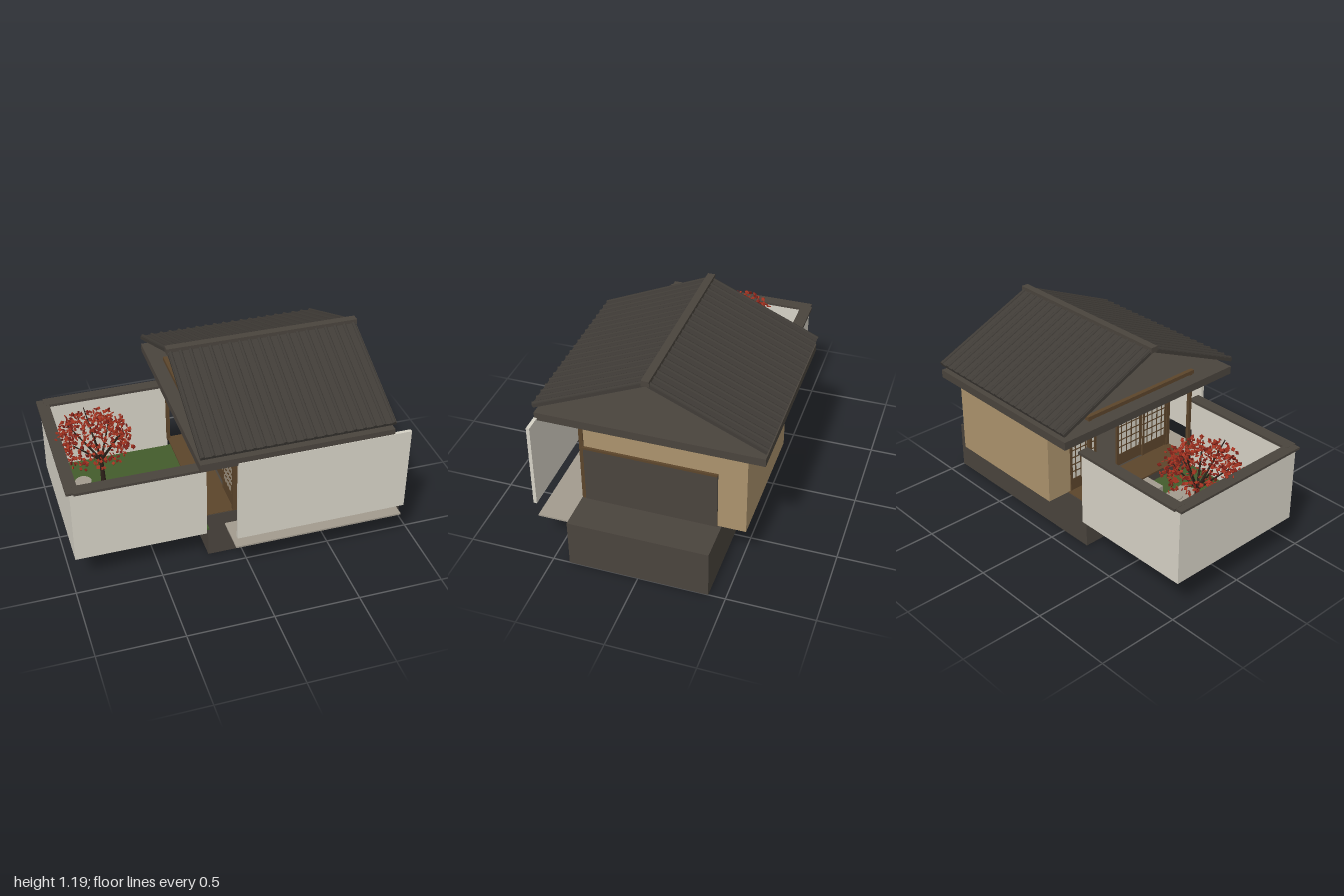
import * as THREE from 'three';
import { mergeGeometries } from 'three/addons/utils/BufferGeometryUtils.js';

const mat = (name, color, side = THREE.FrontSide) => {
  const m = new THREE.MeshStandardMaterial({ color, side });
  m.name = name;
  return m;
};

export function createModel() {
  const charcoal = mat('charcoal', 0x4a443d);
  const tile = mat('roofTile', 0x403c37);
  const plaster = mat('plaster', 0xd6d2c6);
  const clay = mat('clayWall', 0xac936d);
  const wood = mat('wood', 0x5c452b);
  const grass = mat('moss', 0x435c2c);
  const stone = mat('stone', 0xa29b8e);
  const bark = mat('bark', 0x2e211a);
  const leafRed = mat('leafRed', 0xa23220);
  const leafDark = mat('leafDarkRed', 0x7c2018);

  const model = new THREE.Group();
  model.name = 'gardenHouse';
  const add = (parent, name, geo, m) => {
    const mesh = new THREE.Mesh(geo, m);
    mesh.name = name;
    parent.add(mesh);
    return mesh;
  };
  // box geometry given by its limits
  const span = (x0, x1, y0, y1, z0, z1) =>
    new THREE.BoxGeometry(x1 - x0, y1 - y0, z1 - z0)
      .translate((x0 + x1) / 2, (y0 + y1) / 2, (z0 + z1) / 2);
  const box = (name, m, ...b) => add(model, name, span(...b), m);
  const group = (name) => {
    const g = new THREE.Group();
    g.name = name;
    model.add(g);
    return g;
  };

  // foundation, veranda and front apron
  box('foundation', charcoal, -0.2, 1, 0, 0.29, -0.403, 0.403);
  box('verandaFloor', wood, -0.225, -0.04, 0.284, 0.293, -0.4, 0.4);
  box('frontApron', stone, -0.1, 0.9, 0.2, 0.21, 0.4, 0.62);
  box('frontScreen', plaster, -0.1, 0.9, 0.29, 0.81, 0.623, 0.643);

  // clay walls with a rear bay and the dark side panel
  box('rearBay', clay, -0.04, 0.765, 0.29, 0.79, -0.54, -0.38);
  box('sideWall', clay, 0.745, 0.765, 0.29, 0.79, -0.38, 0.385);
  box('sidePanel', charcoal, 0.765, 0.775, 0.29, 0.64, -0.38, 0.38);
  box('sidePanelCap', wood, 0.764, 0.779, 0.64, 0.653, -0.38, 0.385);

  // posts and gable beam
  for (const z of [-0.39, 0.39])
    box('verandaPost', wood, -0.23, -0.21, 0.284, 0.86, z - 0.01, z + 0.01);
  box('gableBeam', wood, -0.233, -0.208, 0.85, 0.873, -0.408, 0.408);
  for (const x of [-0.04, 0.76])
    box('cornerPost', wood, x - 0.012, x + 0.012, 0.29, 0.8, 0.378, 0.402);

  // sliding paper screen: lies along local x, faces local z
  const screen = (name, width) => {
    const g = group(name);
    const y0 = 0.295, y1 = 0.79, kick = 0.37, h = width / 2;
    add(g, 'paper', span(-h, h, kick, y1, -0.002, 0.002), plaster);
    const bars = [
      span(-h, h, y0, kick, -0.005, 0.005), span(-h, h, y1 - 0.025, y1, -0.007, 0.007),
      span(-h, -h + 0.014, y0, y1, -0.007, 0.007), span(h - 0.014, h, y0, y1, -0.007, 0.007),
    ];
    for (let i = 1; i < 5; i++) {
      const x = -h + (width * i) / 5;
      bars.push(span(x - 0.003, x + 0.003, kick, y1, -0.005, 0.005));
    }
    for (let i = 1; i < 9; i++) {
      const y = kick + ((y1 - kick) * i) / 9;
      bars.push(span(-h, h, y - 0.003, y + 0.003, -0.005, 0.005));
    }
    add(g, 'lattice', mergeGeometries(bars), wood);
    return g;
  };
  [-0.285, 0.085, 0.28].forEach((z, i) => {
    const g = screen('verandaScreen', 0.195);
    g.rotation.y = Math.PI / 2;
    g.position.set(i === 1 ? -0.025 : -0.04, 0, z);
  });
  for (let i = 0; i < 4; i++)
    screen('frontSlidingScreen', 0.2).position.set(0.06 + i * 0.2, 0, 0.392);

  // eaves slab and tiled gable roof
  box('eavesSlab', charcoal, -0.31, 0.8, 0.795, 0.843, -0.64, 0.64);
  box('roofRidge', charcoal, -0.318, 0.806, 1.157, 1.19, -0.022, 0.022);
  const angle = Math.atan2(0.28, 0.64), length = Math.hypot(0.28, 0.64);
  for (const side of [1, -1]) {
    const slope = group(side > 0 ? 'frontRoofSlope' : 'rearRoofSlope');
    slope.position.set(0.245, 1.155, 0);
    slope.rotation.set(angle, side > 0 ? 0 : Math.PI, 0, 'YXZ');
    add(slope, 'roofBoard', span(-0.555, 0.555, 0, 0.02, 0, length), tile);
    const ribs = [];
    for (let i = 0; i < 20; i++)
      ribs.push(new THREE.CylinderGeometry(0.011, 0.011, length, 8)
        .rotateX(Math.PI / 2).translate(-0.54 + (i * 1.08) / 19, 0.018, length / 2));
    add(slope, 'tileRibs', mergeGeometries(ribs), tile);
  }

  // walled garden
  box('gardenGround', grass, -0.955, -0.2, 0.202, 0.214, -0.425, 0.425);
  box('gardenLeftWall', plaster, -0.98, -0.95, 0.2, 0.66, -0.45, 0.45);
  box('gardenLeftCoping', charcoal, -1, -0.93, 0.66, 0.674, -0.46, 0.46);
  for (const s of [-1, 1]) {
    const z = s * 0.435;
    box('gardenWall', plaster, -0.98, -0.22, 0.2, 0.66, z - 0.015, z + 0.015);
    box('gardenCoping', charcoal, -0.96, -0.215, 0.659, 0.675, z - 0.035, z + 0.035);
  }
  box('paving', stone, -0.63, -0.35, 0.2, 0.218, 0, 0.24);
  box('stepStone', stone, -0.33, -0.2, 0.2, 0.26, -0.01, 0.08);
  for (const [x, z, r] of [[-0.41, 0.1, 0.045], [-0.52, 0.19, 0.04], [-0.8, -0.2, 0.05],
    [-0.75, 0.04, 0.04], [-0.73, 0.21, 0.055]]) {
    add(model, 'steppingStone', new THREE.CylinderGeometry(r, r, 0.014, 16), stone)
      .position.set(x, 0.218, z);
  }

  // maple tree: trunk, spreading branches and scattered leaves
  let seed = 7;
  const rnd = () => (seed = (seed * 16807) % 2147483647) / 2147483647;
  const tree = group('mapleTree');
  const limb = (a, b, r0, r1) => {
    const d = b.clone().sub(a);
    const q = new THREE.Quaternion().setFromUnitVectors(
      new THREE.Vector3(0, 1, 0), d.clone().normalize());
    return new THREE.CylinderGeometry(r1, r0, d.length(), 6)
      .applyQuaternion(q).translate(...a.clone().add(b).multiplyScalar(0.5).toArray());
  };
  const fork = new THREE.Vector3(-0.71, 0.48, -0.04);
  const limbs = [limb(new THREE.Vector3(-0.7, 0.21, -0.05), fork, 0.018, 0.012)];
  for (let i = 0; i < 7; i++) {
    const a = (i / 7) * Math.PI * 2;
    const tip = new THREE.Vector3(-0.73 + 0.16 * Math.cos(a), 0.66 + 0.05 * (i % 3),
      -0.04 + 0.15 * Math.sin(a));
    limbs.push(limb(fork, tip, 0.008, 0.003));
  }
  add(tree, 'trunkAndBranches', mergeGeometries(limbs), bark);

  const leaves = [[], []];
  for (let i = 0; i < 520; i++) {
    const a = rnd() * Math.PI * 2, u = rnd() * 1.5 - 0.5;
    const r = 0.6 + 0.4 * rnd(), c = Math.sqrt(1 - u * u) * r;
    const size = 0.012 + rnd() * 0.008;
    leaves[i % 3 ? 0 : 1].push(new THREE.BoxGeometry(size, 0.005, size)
      .rotateX(rnd() * 3).rotateY(rnd() * 6).rotateZ(rnd() * 3)
      .translate(-0.745 + 0.245 * c * Math.cos(a), 0.62 + 0.175 * u * r,
        -0.045 + 0.225 * c * Math.sin(a)));
  }
  add(tree, 'redLeaves', mergeGeometries(leaves[0]), leafRed);
  add(tree, 'darkLeaves', mergeGeometries(leaves[1]), leafDark);

  return model;
}
